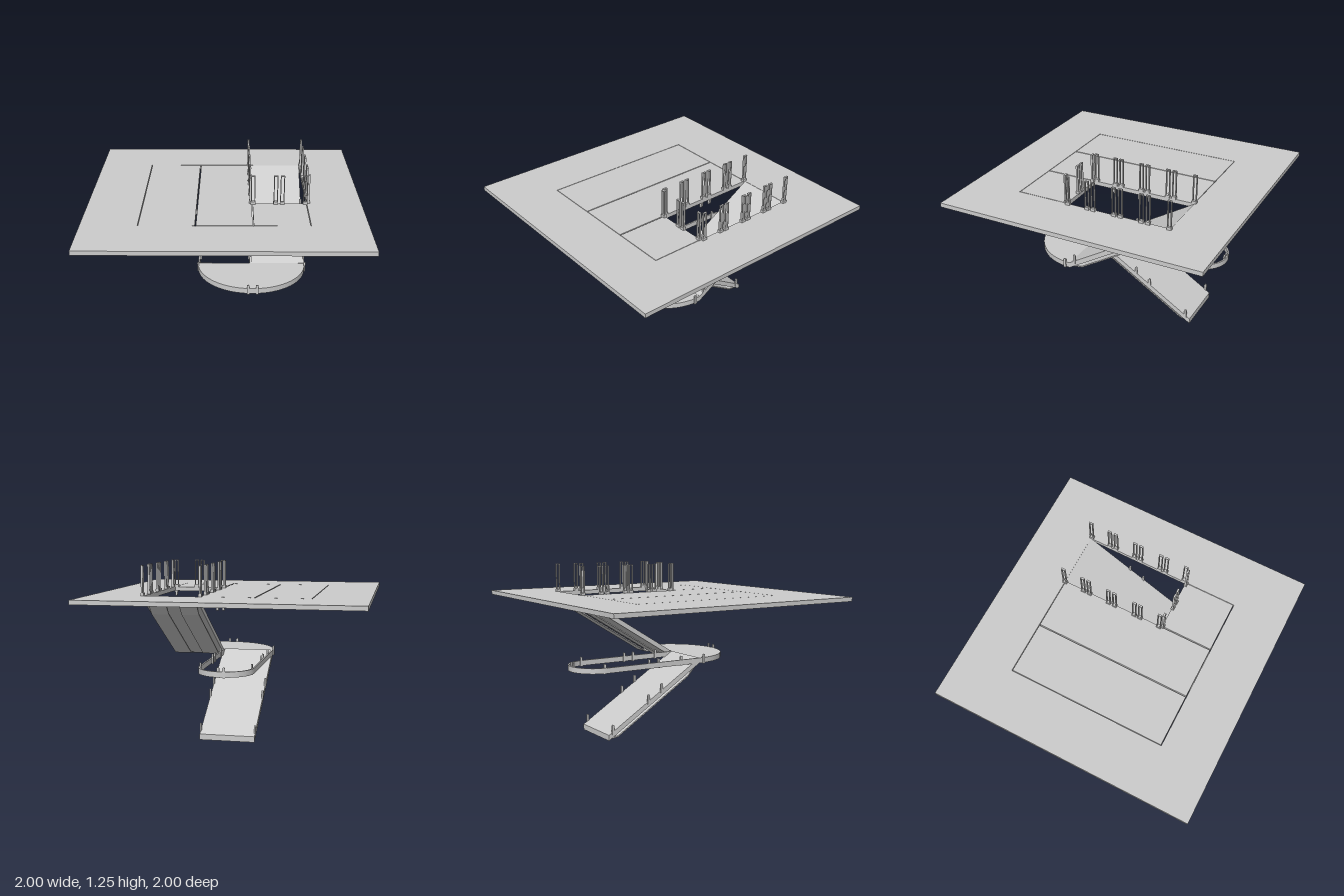
import * as THREE from 'three';

const mat = new THREE.MeshStandardMaterial({ color: 0xcccccc, side: THREE.DoubleSide });

function add(parent, name, geometry) {
  const mesh = new THREE.Mesh(geometry, mat);
  mesh.name = name;
  parent.add(mesh);
  return mesh;
}

const toShape = pts => new THREE.Shape(pts.map(([u, v]) => new THREE.Vector2(u, v)));

// Plan shape drawn in (x, -z), extruded upwards from y0
function planSlab(shape, y0, h) {
  return new THREE.ExtrudeGeometry(shape, { depth: h, bevelEnabled: false, curveSegments: 24 })
    .rotateX(-Math.PI / 2).translate(0, y0, 0);
}

// Side profile in [z, y], extruded across x
function acrossX(pts, x0, x1) {
  return new THREE.ExtrudeGeometry(toShape(pts.map(([z, y]) => [-z, y])), { depth: x1 - x0, bevelEnabled: false })
    .rotateY(Math.PI / 2).translate(x0, 0, 0);
}

function box(x0, x1, y0, y1, z0, z1) {
  return new THREE.BoxGeometry(x1 - x0, y1 - y0, z1 - z0)
    .translate((x0 + x1) / 2, (y0 + y1) / 2, (z0 + z1) / 2);
}

// Local +z points outward from the guarded edge
function place(parent, name, x, y, z, nx, nz) {
  const g = new THREE.Group();
  g.name = name;
  g.position.set(x, y, z);
  g.rotation.y = Math.atan2(nx, nz);
  parent.add(g);
  return g;
}

// Tall railing post: twin bars with a cap and a clamped foot
function railingPost(parent, x, z, nx, nz) {
  const g = place(parent, 'railingPost', x, 1.03, z, nx, nz);
  for (const s of [-1, 1]) {
    add(g, 'postBar', box(s * 0.0125 - 0.003, s * 0.0125 + 0.003, 0, 0.22, 0.002, 0.016));
  }
  add(g, 'postCap', box(-0.0155, 0.0155, 0.214, 0.22, 0.002, 0.016));
  add(g, 'postFoot', box(-0.017, 0.017, 0, 0.022, -0.004, 0.02));
}

// Short clamp on an edge, with an upper rounded head
function edgeClamp(parent, x, y, z, nx, nz) {
  const g = place(parent, 'edgeClamp', x, y, z, nx, nz);
  add(g, 'clampPlate', box(-0.009, 0.009, -0.01, 0.055, -0.003, 0.009));
  add(g, 'clampHead', new THREE.CylinderGeometry(0.009, 0.009, 0.012, 12).rotateX(Math.PI / 2).translate(0, 0.055, 0.003));
}

// Tapered clamp hanging below the floor
function ceilingClamp(parent, x, z, nx, nz) {
  const g = place(parent, 'ceilingClamp', x, 1, z, nx, nz);
  add(g, 'hanger', acrossX([[-0.012, 0], [0.012, 0], [0.009, -0.04], [-0.004, -0.04]], -0.009, 0.009));
}

// Stair flight with two thin tension straps underneath
function flight(parent, name, x0, slope) {
  const under = z => 0.5 + slope * (z - 0.2);
  const g = new THREE.Group();
  g.name = name;
  parent.add(g);
  add(g, 'flightSlab', acrossX([
    [0.2, under(0.2)], [-0.6, under(-0.6)], [-0.6, under(-0.6) + 0.042], [0.2, under(0.2) + 0.042],
  ], x0, x0 + 0.4));
  const line = [[0.2, 0], [0.11, -0.042], [-0.51, -0.042], [-0.6, 0]];
  const lower = line.map(([z, d]) => [z, under(z) + d]);
  const upper = line.map(([z, d]) => [z, under(z) + d + 0.01]).reverse();
  for (const a of [0.02, 0.245]) add(g, 'flightStrap', acrossX([...lower, ...upper], x0 + a, x0 + a + 0.13));
  return { g, under };
}

export function createModel() {
  const root = new THREE.Group();
  root.name = 'staircaseWithFloor';

  // Floor: outer frame plus panels divided by narrow seams
  const floor = new THREE.Group();
  floor.name = 'floor';
  root.add(floor);
  const frame = toShape([[-1, -1], [1, -1], [1, 1], [-1, 1]]);
  frame.holes.push(new THREE.Path([[-0.6, -0.6], [-0.6, 0.6], [0.6, 0.6], [0.6, -0.6]]
    .map(([u, v]) => new THREE.Vector2(u, v))));
  add(floor, 'floorFrame', planSlab(frame, 1, 0.032));
  const e = 0.004;
  for (const [x0, x1, z0] of [[-0.6, -0.2, -0.6], [-0.2, 0.2, -0.6], [0.2, 0.6, 0.2]]) {
    add(floor, 'floorPanel', box(x0 + e, x1 - e, 1, 1.032, z0 + e, 0.6 - e));
  }

  // Sagging straps below the floor
  const sag = [[-0.19, 0], [-0.09, -0.032], [0.09, -0.032], [0.19, 0]];
  const sagShape = toShape([...sag, ...sag.map(([x, y]) => [x, y + 0.01]).reverse()]);
  for (let i = 0; i < 5; i++) {
    add(floor, 'floorStrap', new THREE.ExtrudeGeometry(sagShape, { depth: 0.1, bevelEnabled: false })
      .translate(0, 1, 0.12 - i * 0.17));
  }

  // Railing posts around the opening
  for (const z of [0.185, 0.03, -0.018, -0.18, -0.23, -0.39, -0.44, -0.597]) {
    railingPost(floor, 0.197, z, -1, 0);
    railingPost(floor, 0.603, z, 1, 0);
  }
  for (const x of [0.207, 0.372, 0.42, 0.587]) railingPost(floor, x, 0.203, 0, 1);

  // Upper and lower flights with edge clamps
  const up = flight(root, 'upperFlight', 0.2, -0.61);
  const low = flight(root, 'lowerFlight', -0.2, 0.625);
  for (const z of [0.16, -0.145, -0.26]) edgeClamp(up.g, 0.594, up.under(z) + 0.03, z, 1, 0);
  for (const z of [-0.145, -0.26, -0.565]) {
    for (const s of [-1, 1]) edgeClamp(low.g, s * 0.196, low.under(z) + 0.03, z, s, 0);
  }

  // Half-round landing
  const half = new THREE.Shape();
  half.moveTo(-0.2, -0.2);
  half.absarc(0.2, -0.2, 0.4, Math.PI, 2 * Math.PI, false);
  half.closePath();
  add(root, 'landing', planSlab(half, 0.5, 0.04));

  // U-shaped edge band behind the landing
  const band = new THREE.Shape();
  band.moveTo(0.2, -0.2);
  band.lineTo(0.2, 0.6);
  band.absarc(0, 0.6, 0.2, 0, Math.PI, false);
  band.lineTo(-0.2, -0.2);
  band.lineTo(-0.188, -0.2);
  band.lineTo(-0.188, 0.6);
  band.absarc(0, 0.6, 0.188, Math.PI, 0, true);
  band.lineTo(0.188, -0.2);
  band.closePath();
  add(root, 'edgeBand', planSlab(band, 0.5, 0.04));

  // Matching clamps on landing, band and ceiling: [x, z, outward x, outward z]
  const spots = [
    [0.17, 0.598, 0, 1], [0.235, 0.598, 0, 1], [-0.197, 0.24, -1, 0], [0.597, 0.24, 1, 0],
    [-0.02, -0.788, 0, 1], [0.02, -0.788, 0, 1],
  ];
  for (const z of [0.04, -0.165, -0.245, -0.62]) spots.push([0.188, z, -1, 0], [-0.188, z, 1, 0]);
  for (const [x, z, nx, nz] of spots) {
    edgeClamp(root, x, 0.505, z, nx, nz);
    ceilingClamp(root, x, z, nx, nz);
  }
  return root;
}
